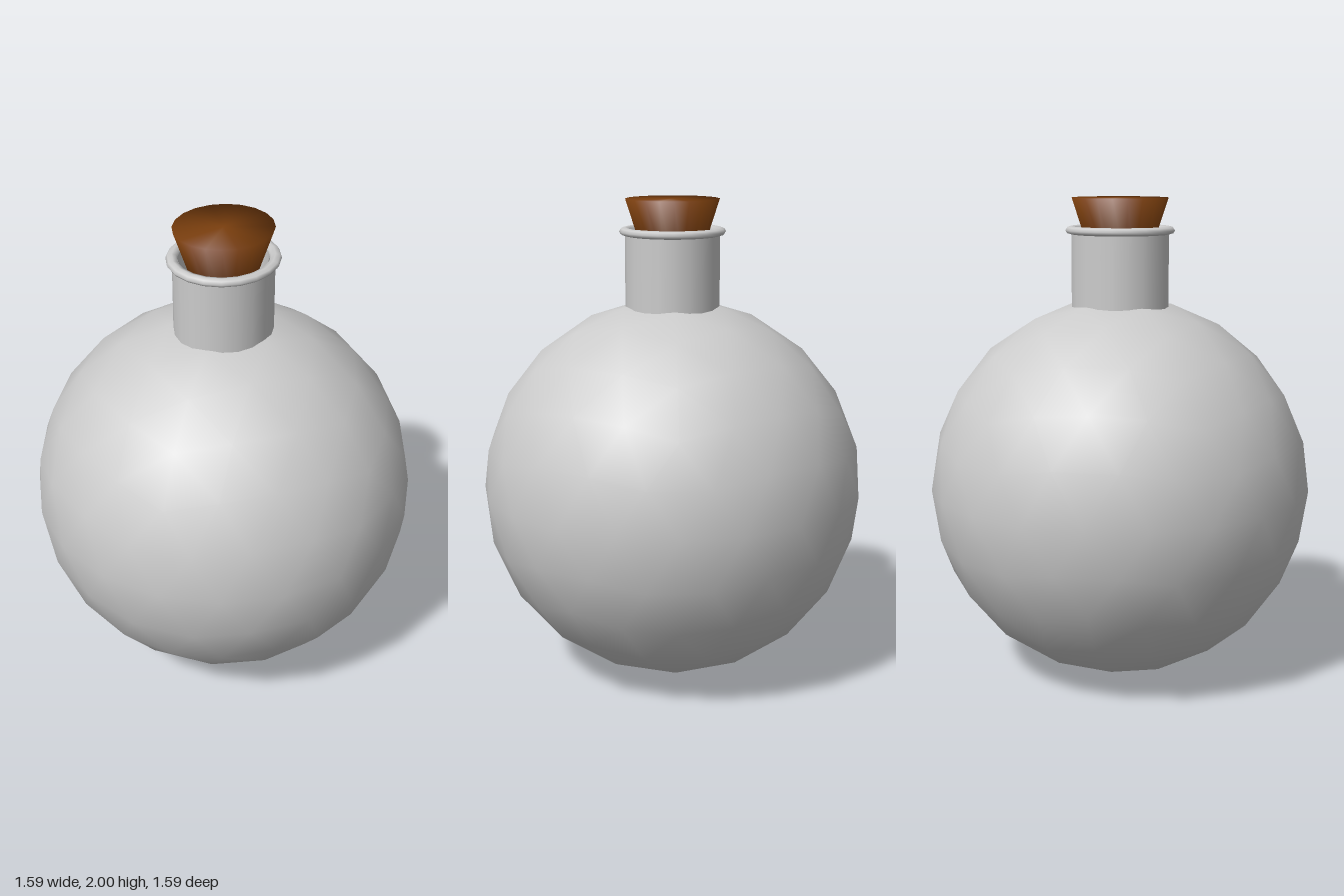
import * as THREE from 'three';

const glass = new THREE.MeshStandardMaterial({ color: 0xcccccc, side: THREE.DoubleSide });
const corkMaterial = new THREE.MeshStandardMaterial({ color: 0x7b3f0e });
const SIDES = 20;
const OVAL = 0.955; // neck parts are slightly narrower front to back

function add(group, name, geometry, material) {
  const mesh = new THREE.Mesh(geometry, material);
  mesh.name = name;
  group.add(mesh);
  return mesh;
}

function turned(profile) {
  const points = profile.map(([r, y]) => new THREE.Vector2(r, y));
  return new THREE.LatheGeometry(points, SIDES).scale(1, 1, OVAL);
}

// Icosahedron standing on a corner, split in four twice and rounded each time
function icoSphere(radius) {
  const corners = [0, 1, 0];
  const y = 1 / Math.sqrt(5), r = 2 / Math.sqrt(5);
  for (const [height, turn] of [[y, 0], [-y, Math.PI / 5]]) {
    for (let i = 0; i < 5; i++) {
      const a = turn + i * Math.PI * 0.4;
      corners.push(r * Math.cos(a), height, r * Math.sin(a));
    }
  }
  corners.push(0, -1, 0);
  const faces = [];
  for (let i = 0; i < 5; i++) {
    const n = (i + 1) % 5;
    const u = 1 + i, un = 1 + n, l = 6 + i, ln = 6 + n;
    faces.push(0, un, u, u, un, l, un, ln, l, l, ln, 11);
  }
  const once = new THREE.PolyhedronGeometry(corners, faces, 1, 1);
  const positions = Array.from(once.attributes.position.array);
  const order = Array.from({ length: positions.length / 3 }, (_, i) => i);
  return new THREE.PolyhedronGeometry(positions, order, radius, 1);
}

export function createModel() {
  const flask = new THREE.Group();
  flask.name = 'flask';

  // Round body
  const R = 0.796;
  add(flask, 'body', icoSphere(R), glass).position.y = R;

  // Hollow neck, separate inner and outer walls keep the edges crisp
  add(flask, 'neckOuter', turned([[0.204, 1.48], [0.204, 1.87]]), glass);
  add(flask, 'neckInner', turned([[0.182, 1.87], [0.182, 1.5]]), glass);

  // Rounded lip around the mouth
  add(flask, 'lip', turned([
    [0.182, 1.862], [0.204, 1.852], [0.222, 1.857], [0.229, 1.868],
    [0.222, 1.88], [0.204, 1.885], [0.187, 1.88], [0.182, 1.862],
  ]), glass);

  // Tapered stopper, closed at both ends
  add(flask, 'cork', turned([[0, 1.75], [0.118, 1.75], [0.202, 2], [0, 2]]), corkMaterial);

  return flask;
}
